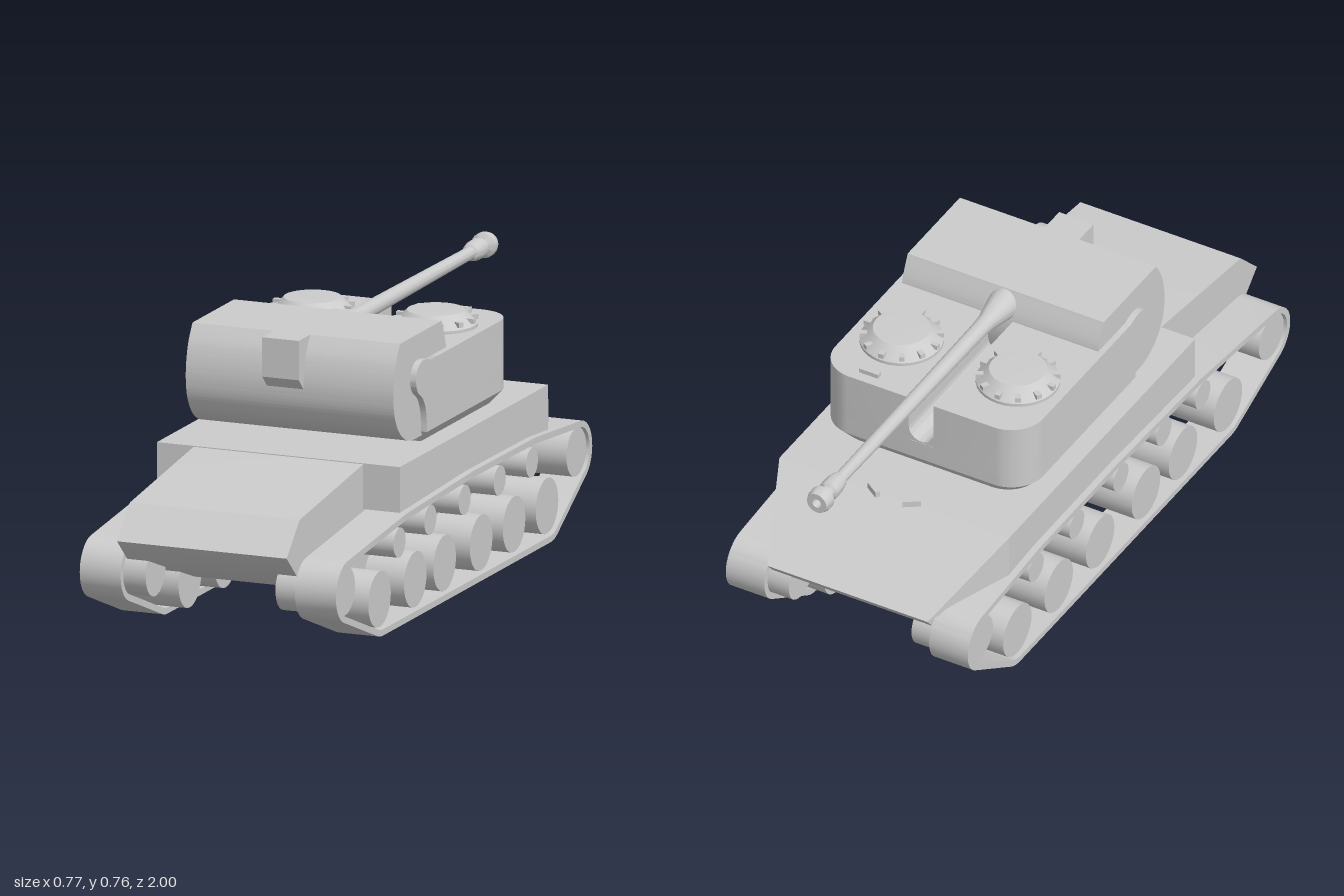
import * as THREE from 'three';
import { toCreasedNormals } from 'three/addons/utils/BufferGeometryUtils.js';
import { ConvexGeometry } from 'three/addons/geometries/ConvexGeometry.js';

const V2 = (p) => new THREE.Vector2(p[0], p[1]);
const polygon = (pts) => new THREE.Shape(pts.map(V2));

// Side profile drawn as (z, y), extruded across x0..x1
function sideExtrude(shape, x0, x1) {
  const g = new THREE.ExtrudeGeometry(shape, { depth: x1 - x0, bevelEnabled: false, curveSegments: 10 });
  g.rotateY(-Math.PI / 2).translate(x1, 0, 0);
  return toCreasedNormals(g, 0.5);
}

// Plan drawn as (x, z), extruded from y0 up to y1
function planExtrude(shape, y0, y1) {
  const g = new THREE.ExtrudeGeometry(shape, { depth: y1 - y0, bevelEnabled: false, curveSegments: 10 });
  return g.rotateX(Math.PI / 2).translate(0, y1, 0);
}

// Belt line wrapped around a ring of circles [z, y, radius], shrunk by inset
function beltShape(circles, inset) {
  const n = circles.length;
  const normals = circles.map((a, i) => {
    const b = circles[(i + 1) % n];
    const dz = b[0] - a[0], dy = b[1] - a[1];
    return Math.atan2(dy, dz) - Math.acos((a[2] - b[2]) / Math.hypot(dz, dy));
  });
  const s = new THREE.Shape();
  circles.forEach((c, i) => s.absarc(c[0], c[1], c[2] - inset, normals[(i + n - 1) % n], normals[i], false));
  return s;
}

export function createModel() {
  const model = new THREE.Group();
  const mat = new THREE.MeshStandardMaterial({ color: 0xcccccc, side: THREE.DoubleSide });
  const add = (name, geo, parent = model) => {
    const m = new THREE.Mesh(geo, mat);
    m.name = name;
    parent.add(m);
    return m;
  };
  const addPair = (name, geo, parent = model) => {
    add(name + 'Left', geo, parent);
    add(name + 'Right', geo, parent).scale.x = -1;
  };

  // Hull
  add('hull', sideExtrude(polygon([
    [1, 0.29], [0.91, 0.38], [0.46, 0.438], [-0.57, 0.438], [-0.83, 0.28],
    [-0.8, 0.245], [-0.45, 0.105], [0.6, 0.105], [0.93, 0.225],
  ]), -0.255, 0.255));
  add('upperHull', new THREE.BoxGeometry(0.73, 0.13, 1.035).translate(0, 0.375, -0.0525));
  const rearPoints = [];
  for (const s of [-1, 1]) {
    rearPoints.push(...[
      [0.365, 0.44, -0.57], [0.365, 0.31, -0.57], [0.255, 0.323, -0.76], [0.255, 0.3, -0.76],
      [0.255, 0.28, -0.83],
    ].map(([x, y, z]) => new THREE.Vector3(s * x, y, z)));
  }
  add('rearDeck', new ConvexGeometry(rearPoints));

  // Travel lock on the rear deck
  const lock = new THREE.BoxGeometry(0.05, 0.018, 0.014).rotateY(-0.6).translate(0.06, 0.452, -0.578);
  addPair('travelLock', lock);

  // Tracks
  const ring = [
    [0.63, 0.103, 0.103], [0.87, 0.18, 0.088], [0.46, 0.25, 0.06], [0, 0.25, 0.075],
    [-0.435, 0.25, 0.072], [-0.745, 0.21, 0.088], [-0.54, 0.103, 0.103],
  ];
  // The ring must run counter-clockwise in (z, y)
  const belt = beltShape(ring, 0);
  belt.holes.push(beltShape(ring, 0.018));
  addPair('track', sideExtrude(belt, 0.262, 0.385));

  // Wheels [z, y, radius]
  const wheel = (name, z, y, r) => {
    const g = new THREE.CylinderGeometry(r, r, 0.18, 28).rotateZ(Math.PI / 2).translate(0.285, y, z);
    addPair(name, g);
  };
  [0.63, 0.38, 0.175, -0.08, -0.31, -0.54].forEach((z) => wheel('roadWheel', z, 0.103, 0.079));
  [[0.49, 0.232], [0.275, 0.248], [0.035, 0.25], [-0.21, 0.25], [-0.435, 0.25]]
    .forEach(([z, y]) => wheel('returnRoller', z, y, 0.042));
  wheel('idlerWheel', 0.87, 0.18, 0.069);
  wheel('driveWheel', -0.745, 0.21, 0.069);

  // Turret body, split by a slot for the barrel
  const turret = new THREE.Group();
  turret.name = 'turret';
  model.add(turret);
  const R = 0.1, X = 0.33, back = -0.42;
  const plan = (inner, front) => {
    const s = new THREE.Shape();
    s.moveTo(inner, front).lineTo(X, front).lineTo(X, back + R);
    s.absarc(X - R, back + R, R, 0, -Math.PI / 2, true);
    if (inner < 0) s.absarc(-X + R, back + R, R, -Math.PI / 2, -Math.PI, true);
    else s.lineTo(inner, back);
    s.closePath();
    return s;
  };
  add('turretLower', toCreasedNormals(planExtrude(plan(-X, 0.195), 0.475, 0.53), 0.5), turret);
  addPair('turretUpper', toCreasedNormals(planExtrude(plan(0.04, 0.12), 0.53, 0.675), 0.5), turret);

  // Tapered turret foot
  const foot = planExtrude(plan(-X, 0.195), 0.44, 0.475);
  const p = foot.attributes.position;
  for (let i = 0; i < p.count; i++) {
    if (p.getY(i) < 0.45) p.setXYZ(i, p.getX(i) * 0.91, 0.44, -0.11 + (p.getZ(i) + 0.11) * 0.91);
  }
  add('turretFoot', toCreasedNormals(foot, 0.5), turret);

  // Rounded floor of the barrel slot
  const slot = new THREE.Shape();
  slot.moveTo(-0.041, 0.525).lineTo(0.041, 0.525).lineTo(0.041, 0.575).lineTo(0.04, 0.575);
  slot.absarc(0, 0.575, 0.04, 0, -Math.PI, true);
  slot.lineTo(-0.041, 0.575);
  add('slotFloor', toCreasedNormals(
    new THREE.ExtrudeGeometry(slot, { depth: 0.48, bevelEnabled: false }).translate(0, 0, back + 0.001), 0.5), turret);

  // Side cheeks with trunnion ends
  const cheek = new THREE.Shape();
  cheek.moveTo(-0.05, 0.475).lineTo(-0.05, 0.675).lineTo(0.17, 0.675);
  cheek.quadraticCurveTo(0.19, 0.685, 0.22, 0.685);
  cheek.absarc(0.22, 0.635, 0.05, Math.PI / 2, -Math.PI / 3, true);
  cheek.quadraticCurveTo(0.19, 0.565, 0.195, 0.475);
  addPair('cheek', sideExtrude(cheek, 0.3, X), turret);

  // Gun housing drum
  const drum = polygon([[0.05, 0.757], [0.34, 0.757]]);
  drum.splineThru([[0.368, 0.71], [0.383, 0.66], [0.387, 0.61], [0.379, 0.56], [0.355, 0.516],
    [0.32, 0.485], [0.28, 0.468], [0.24, 0.463]].map(V2));
  drum.lineTo(0.12, 0.463);
  drum.splineThru([[0.05, 0.52], [0.02, 0.6], [0.02, 0.68], [0.05, 0.757]].map(V2));
  add('gunHousing', sideExtrude(drum, -0.312, 0.312), turret);
  add('frontSight', sideExtrude(polygon(
    [[0.3, 0.757], [0.42, 0.757], [0.42, 0.645], [0.385, 0.61], [0.3, 0.61]]), -0.068, 0.042), turret);

  // Barrel with root collar and muzzle brake, profile [radius, distance]
  const barrel = new THREE.LatheGeometry([
    [0, -0.1], [0.044, -0.1], [0.044, -0.03], [0.038, 0], [0.026, 0.06], [0.024, 0.1], [0.018, 0.87], [0.024, 0.875],
    [0.029, 0.9], [0.029, 0.935], [0.021, 0.942], [0.021, 0.955], [0.036, 0.965],
    [0.036, 0.985], [0.031, 1], [0.014, 1], [0.012, 0.97], [0, 0.97],
  ].map(V2), 24);
  barrel.rotateX(-Math.PI / 2).translate(0, 0.71, 0);
  add('barrel', toCreasedNormals(barrel, 0.5), turret);

  // Cupolas with a ring of vision blocks
  for (const s of [-1, 1]) {
    const cupola = new THREE.Group();
    cupola.name = 'cupola';
    cupola.position.set(s * 0.185, 0.67, -0.205);
    turret.add(cupola);
    const dome = new THREE.LatheGeometry(
      [[0.117, 0], [0.117, 0.014], [0.108, 0.022], [0.086, 0.044], [0.08, 0.05], [0, 0.052]].map(V2), 32);
    add('cupolaDome', toCreasedNormals(dome, 0.4), cupola);
    for (let i = 0; i < 12; i++) {
      const block = new THREE.BoxGeometry(0.016, 0.014, 0.034).translate(0, 0.027, 0.1);
      add('visionBlock', block.rotateY((i * Math.PI) / 6), cupola);
    }
  }
  add('roofSlot', new THREE.BoxGeometry(0.06, 0.02, 0.018).translate(0.185, 0.678, -0.38), turret);

  return model;
}
